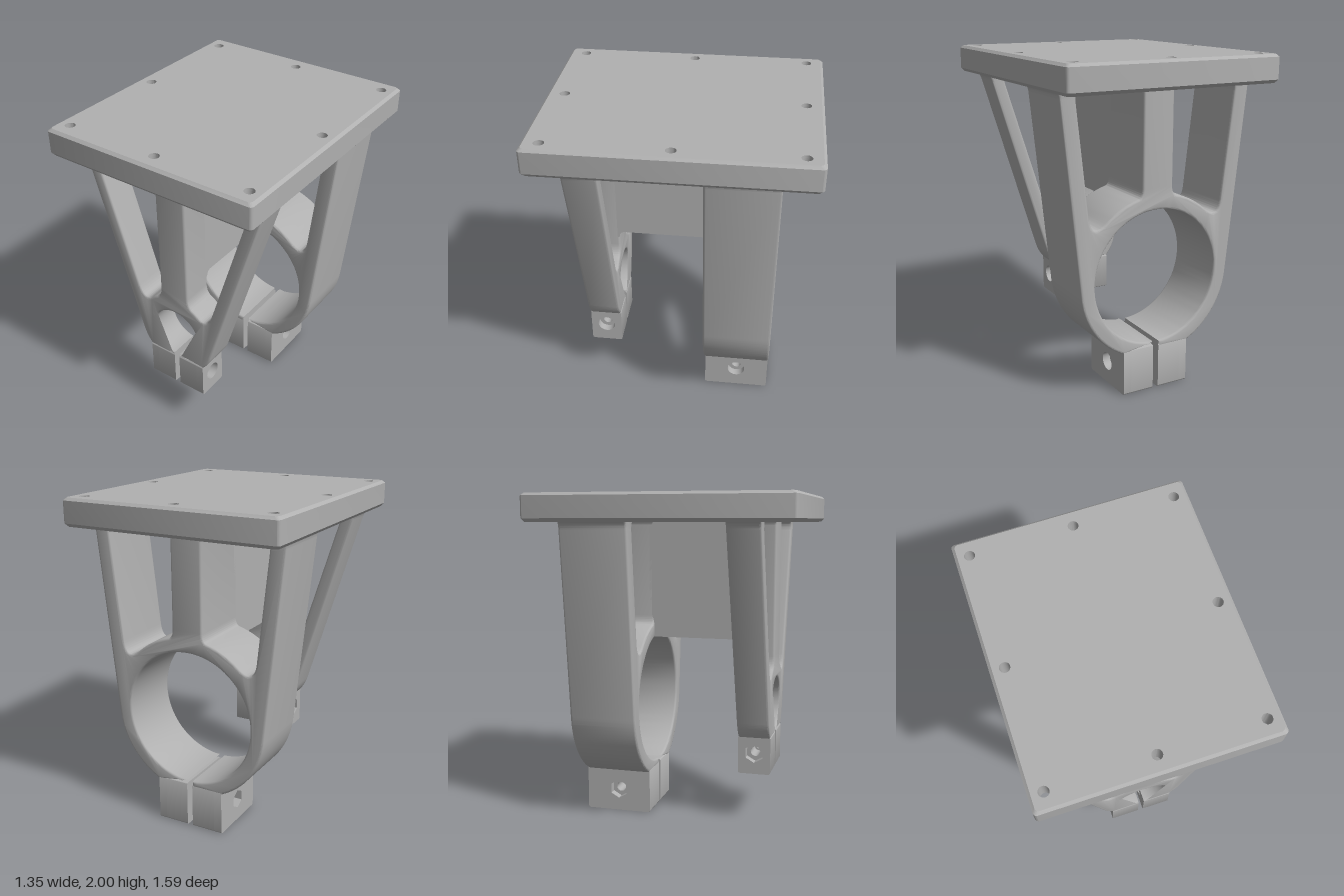
import * as THREE from 'three';
import { toCreasedNormals, mergeGeometries } from 'three/addons/utils/BufferGeometryUtils.js';

const BORE_Y = 0.715, SLIT = 0.018, PLATE_Y = 1.835, BEVEL = 0.014;

const circle = (x, y, r) => new THREE.Path().absarc(x, y, r, 0, Math.PI * 2, false);

// Rectangle with rounded corners
function roundedRect(x0, y0, x1, y1, r) {
  const s = new THREE.Shape();
  s.moveTo(x0 + r, y0);
  s.absarc(x1 - r, y0 + r, r, -Math.PI / 2, 0, false);
  s.absarc(x1 - r, y1 - r, r, 0, Math.PI / 2, false);
  s.absarc(x0 + r, y1 - r, r, Math.PI / 2, Math.PI, false);
  s.absarc(x0 + r, y0 + r, r, Math.PI, Math.PI * 1.5, false);
  return s;
}

// Extrude a (z, y) shape from x0 to x1
function extrudeX(shape, x0, x1) {
  const g = new THREE.ExtrudeGeometry(shape, { depth: x1 - x0, bevelEnabled: false, curveSegments: 10 });
  return toCreasedNormals(g.rotateY(-Math.PI / 2).translate(x1, 0, 0), 0.6);
}

// Window between the centre column, a leg and the clamp ring
function windowPath(side, p) {
  const path = new THREE.Path(), top = 1.842;
  const on = a => [p.R * Math.cos(a) * side, BORE_Y + p.R * Math.sin(a)];
  const [legX, legY] = p.legLow, topX = p.legTop;
  const dx = (topX - legX) * 0.07 / (top - legY);
  path.moveTo(0.1 * side, top - 0.03);
  path.quadraticCurveTo(0.1 * side, top, 0.13 * side, top);
  path.lineTo((topX - 0.06) * side, top);
  path.quadraticCurveTo(topX * side, top, (topX - dx) * side, top - 0.07);
  path.lineTo(legX * side, legY);
  path.quadraticCurveTo(p.corner[0] * side, p.corner[1], ...on(p.arc[0]));
  for (let i = 1; i <= 8; i++) path.lineTo(...on(p.arc[0] + (p.arc[1] - p.arc[0]) * i / 8));
  path.quadraticCurveTo(0.1 * side, p.columnLow - 0.055, 0.1 * side, p.columnLow);
  path.closePath();
  return path;
}

// Split ring, two legs and a centre column in one profile
function bracketGeometry(p) {
  const { R, r, half, z0, z1 } = p;
  const low = Math.acos(half / R);
  const tangent = Math.atan2(1.12, 0.62) - Math.acos(R / Math.hypot(0.62, 1.12));
  const bottom = BORE_Y - Math.sqrt(R * R - half * half);
  const gap = Math.asin(SLIT / r);
  const tx = R * Math.cos(tangent), ty = BORE_Y + R * Math.sin(tangent);
  const k = (1.79 - ty) / (PLATE_Y - ty), flareX = tx + (0.62 - tx) * k;

  const s = new THREE.Shape();
  s.moveTo(SLIT, bottom);
  s.absarc(0, BORE_Y, R, -low, tangent, false);
  s.lineTo(flareX, 1.79);
  s.quadraticCurveTo(0.618, 1.835, 0.645, 1.84);
  s.lineTo(0.645, 1.9);
  s.lineTo(-0.645, 1.9);
  s.lineTo(-0.645, 1.84);
  s.quadraticCurveTo(-0.618, 1.835, -flareX, 1.79);
  s.absarc(0, BORE_Y, R, Math.PI - tangent, Math.PI + low, false);
  s.lineTo(-SLIT, bottom);
  s.absarc(0, BORE_Y, r, -Math.PI / 2 - gap, -Math.PI / 2 + gap, true);
  s.closePath();
  s.holes.push(windowPath(1, p), windowPath(-1, p));

  const g = new THREE.ExtrudeGeometry(s, {
    depth: z1 - z0 - 2 * BEVEL, curveSegments: 40, bevelEnabled: true,
    bevelThickness: BEVEL, bevelSize: BEVEL, bevelOffset: -BEVEL, bevelSegments: 3,
  });
  return toCreasedNormals(g.translate(0, 0, z0 + BEVEL), 0.6);
}

// One half of a clamp, with a bolt hole and a round or hexagonal recess
function clampBlock(side, p) {
  const zc = (p.z0 + p.z1) / 2, step = p.half - 0.05;
  const layer = (hole, a, b) => {
    const s = roundedRect(p.z0, p.blockLow, p.z1, p.blockTop, 0.014);
    s.holes.push(hole);
    return side > 0 ? extrudeX(s, a, b) : extrudeX(s, -b, -a);
  };
  let recess = circle(zc, p.boltY, 0.056);
  if (side < 0) {
    const pts = Array.from({ length: 6 }, (_, i) => new THREE.Vector2(
      zc + 0.06 * Math.sin(i * Math.PI / 3), p.boltY + 0.06 * Math.cos(i * Math.PI / 3)));
    recess = new THREE.Path(pts);
  }
  return mergeGeometries([
    layer(circle(zc, p.boltY, 0.03), SLIT, step),
    layer(recess, step, p.half),
  ]);
}

// Mounting plate in three layers with chamfered rims and recessed screw holes
function plateGeometry() {
  const X = 0.675, Z = 0.795, c = 0.016;
  const layers = [[PLATE_Y, 1.855, 0.05], [1.855, 1.984, 0.03], [1.984, 2, 0.03]];
  return mergeGeometries(layers.map(([y0, y1, r]) => {
    const s = roundedRect(-X, -Z, X, Z, 0.022);
    for (const x of [-0.592, 0, 0.592]) for (const z of [-0.693, 0, 0.693])
      if (x || z) s.holes.push(circle(x, z, r));
    const g = new THREE.ExtrudeGeometry(s, { depth: y1 - y0, bevelEnabled: false, curveSegments: 10 });
    g.rotateX(-Math.PI / 2).translate(0, y0, 0);
    const v = g.attributes.position;
    for (let i = 0; i < v.count; i++) {
      const x = v.getX(i), y = v.getY(i), z = v.getZ(i);
      const rim = Math.abs(x) > X - 0.024 || Math.abs(z) > Z - 0.024;
      if (rim && (y < PLATE_Y + 0.001 || y > 1.999)) {
        v.setX(i, x * (1 - c / X));
        v.setZ(i, z * (1 - c / Z));
      }
    }
    return toCreasedNormals(g, 0.6);
  }));
}

export function createModel() {
  const model = new THREE.Group();
  model.name = 'clampBracket';
  const metal = new THREE.MeshStandardMaterial({ color: 0xb0b0b0 });
  metal.name = 'plain grey';
  const add = (name, geometry, parent = model) => {
    const mesh = new THREE.Mesh(geometry, metal);
    mesh.name = name;
    parent.add(mesh);
  };

  add('mountingPlate', plateGeometry());

  const brackets = {
    front: {
      R: 0.27, r: 0.165, half: 0.2, z0: 0.395, z1: 0.595,
      blockLow: 0.305, blockTop: 0.542, boltY: 0.435,
      legTop: 0.54, legLow: [0.272, 0.98], corner: [0.237, 0.87], arc: [0.87, 1.08], columnLow: 1.03,
    },
    rear: {
      R: 0.5, r: 0.41, half: 0.22, z0: -0.585, z1: -0.17,
      blockLow: 0, blockTop: 0.285, boltY: 0.14,
      legTop: 0.525, legLow: [0.446, 1.14], corner: [0.432, 1.0], arc: [0.855, 1.31], columnLow: 1.26,
    },
  };
  for (const [name, p] of Object.entries(brackets)) {
    const group = new THREE.Group();
    group.name = name + 'Bracket';
    add(name + 'Frame', bracketGeometry(p), group);
    add(name + 'LeftClamp', clampBlock(1, p), group);
    add(name + 'RightClamp', clampBlock(-1, p), group);
    model.add(group);
  }

  // Web joining the two centre columns, filleted where it meets the front one
  const web = new THREE.Shape();
  web.moveTo(-0.2, 1.13);
  web.lineTo(-0.17, 1.12);
  web.lineTo(0.36, 1.12);
  web.quadraticCurveTo(0.395, 1.12, 0.397, 1.08);
  web.lineTo(0.415, 1.08);
  web.lineTo(0.415, 1.85);
  web.lineTo(-0.2, 1.85);
  web.closePath();
  add('web', extrudeX(web, -0.1, 0.1));
  return model;
}
